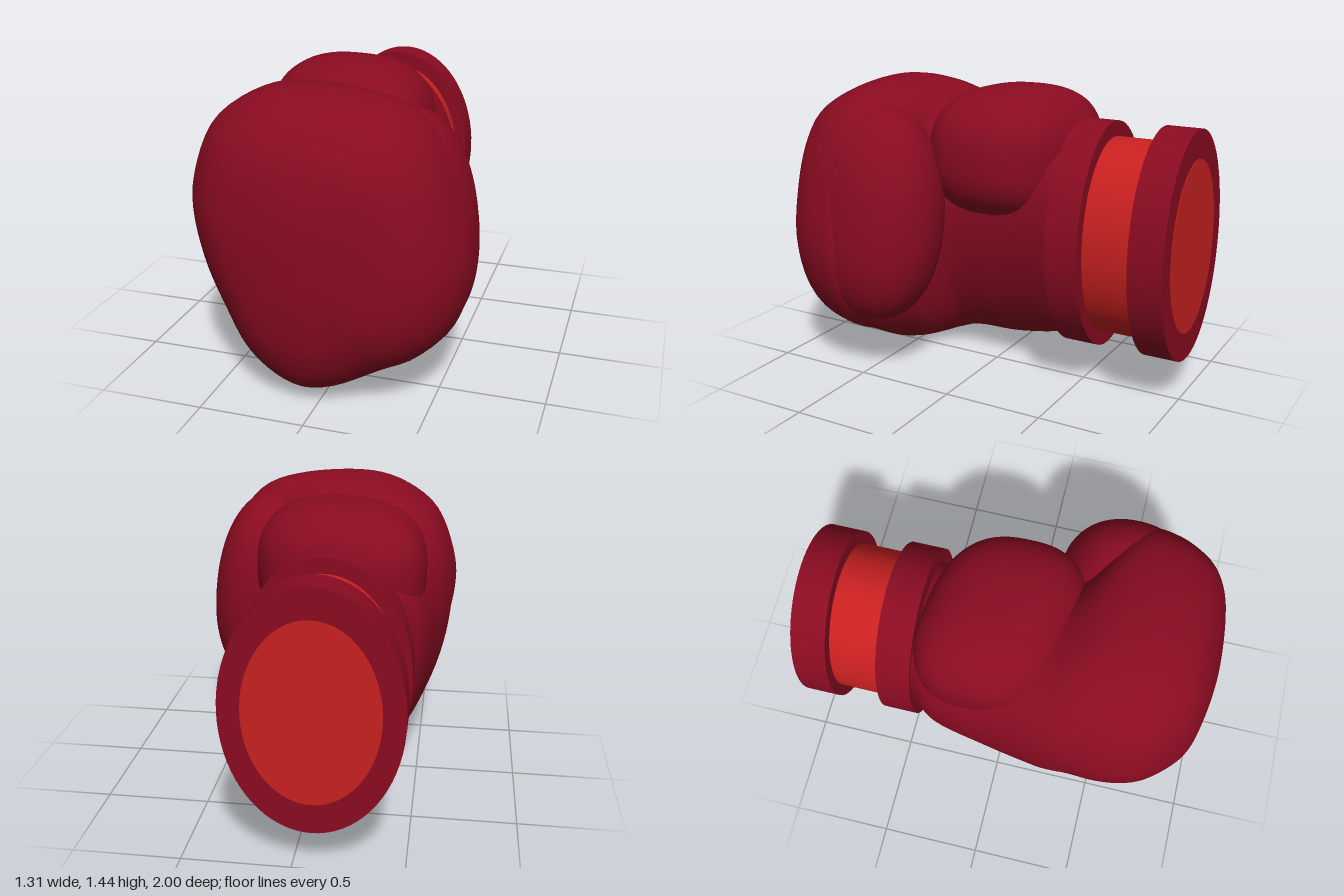
import * as THREE from 'three';
import { mergeVertices } from 'three/addons/utils/BufferGeometryUtils.js';

const leather = new THREE.MeshStandardMaterial({ color: 0x8a0b21 });
leather.name = 'dark crimson leather';
const lining = new THREE.MeshStandardMaterial({ color: 0xc92020 });
lining.name = 'bright red lining';

// Outline of the closed fist seen from the front, scaled to -1..1
const fistOutline = [
  [1, -0.09], [0.92, 0.37], [0.79, 0.67], [0.61, 0.87], [0.31, 0.97], [-0.31, 1], [-0.61, 0.91],
  [-0.84, 0.74], [-0.99, 0.39], [-1, 0.18], [-0.92, -0.16], [-0.79, -0.44], [-0.61, -0.75],
  [-0.38, -0.93], [-0.15, -1], [0.08, -0.96], [0.46, -0.78], [0.69, -0.67], [0.89, -0.47],
];

// Stations from wrist to knuckles: z, xMin, xMax, yMin, yMax
const stations = [
  [-0.5, -0.40, 0.20, 0.26, 1.18],
  [-0.42, -0.45, 0.21, 0.23, 1.20],
  [-0.3, -0.53, 0.20, 0.16, 1.22],
  [-0.05, -0.58, 0.17, 0.10, 1.24],
  [0.2, -0.63, 0.18, 0.08, 1.32],
  [0.3, -0.645, 0.27, 0.055, 1.37],
  [0.38, -0.65, 0.44, 0.03, 1.405],
  [0.46, -0.655, 0.59, 0.01, 1.425],
  [0.55, -0.655, 0.65, 0, 1.435],
  [0.65, -0.64, 0.64, 0.01, 1.43],
  [0.75, -0.60, 0.605, 0.04, 1.40],
  [0.85, -0.52, 0.54, 0.12, 1.34],
  [0.92, -0.43, 0.45, 0.24, 1.24],
  [0.96, -0.31, 0.33, 0.37, 1.13],
  [0.99, -0.13, 0.14, 0.58, 0.97],
  [1.0, 0, 0, 0.78, 0.78],
];

// Loft that changes from an egg-shaped hand to the wide fist outline
function handGeometry() {
  const curve = (pts) => new THREE.CatmullRomCurve3(pts, false, 'catmullrom', 0.5);
  const low = curve(stations.map(([z, x0, , y0]) => new THREE.Vector3(x0, y0, z)));
  const high = curve(stations.map(([z, , x1, , y1]) => new THREE.Vector3(x1, y1, z)));
  const n = 80, rings = 90;
  const outline = new THREE.CatmullRomCurve3(
    fistOutline.map(([x, y]) => new THREE.Vector3(x, y, 0)), true).getSpacedPoints(n);
  const pos = [], index = [];
  for (let i = 0; i <= rings; i++) {
    const a = low.getPoint(i / rings), b = high.getPoint(i / rings);
    const m = THREE.MathUtils.smoothstep(a.z, 0.22, 0.5);
    for (let j = 0; j < n; j++) {
      const p = outline[j], t = Math.atan2(p.y, p.x), s = Math.sin(t);
      const u = THREE.MathUtils.lerp(Math.cos(t), p.x, m);
      const v = THREE.MathUtils.lerp(s + 0.25 * (1 - s * s), p.y, m);
      pos.push((a.x + b.x) / 2 + u * (b.x - a.x) / 2, (a.y + b.y) / 2 + v * (b.y - a.y) / 2, a.z);
      if (i < rings) {
        const k = i * n, q = (j + 1) % n;
        index.push(k + j, k + q, k + n + j, k + q, k + n + q, k + n + j);
      }
    }
  }
  const g = new THREE.BufferGeometry();
  g.setAttribute('position', new THREE.Float32BufferAttribute(pos, 3));
  g.setIndex(index);
  g.computeVertexNormals();
  return g;
}

// Padded lobe: a sphere pushed out towards a box by the given power,
// with its right end slanted forward by the shear
function paddedGeometry(rx, ry, rz, power, shear) {
  let g = new THREE.SphereGeometry(1, 64, 40);
  g.deleteAttribute('uv');
  g.deleteAttribute('normal');
  const p = g.attributes.position, v = new THREE.Vector3();
  for (let i = 0; i < p.count; i++) {
    v.fromBufferAttribute(p, i);
    const sum = Math.abs(v.x) ** power + Math.abs(v.y) ** power + Math.abs(v.z) ** power;
    v.multiplyScalar(sum ** (-1 / power));
    p.setXYZ(i, v.x * rx, v.y * ry, v.z * rz + v.x * rx * shear);
  }
  g = mergeVertices(g, 1e-5);
  g.computeVertexNormals();
  return g;
}

// Oval disc or band of the cuff between two depths
function ovalGeometry(rx, ry, z0, z1) {
  const g = new THREE.CylinderGeometry(1, 1, z1 - z0, 72);
  g.rotateX(Math.PI / 2);
  g.scale(rx, ry, 1);
  g.translate(-0.09, 0.74, (z0 + z1) / 2);
  return g;
}

export function createModel() {
  const model = new THREE.Group();
  model.name = 'boxingGlove';
  const add = (name, geometry, material, parent = model) => {
    const mesh = new THREE.Mesh(geometry, material);
    mesh.name = name;
    parent.add(mesh);
    return mesh;
  };

  // Padded hand, curled finger end and thumb
  add('hand', handGeometry(), leather);
  const fingers = add('curledFingers', paddedGeometry(0.275, 0.53, 0.33, 2.2, 0), leather);
  fingers.position.set(0.365, 0.81, 0.465);
  fingers.rotation.z = 0.12;
  const thumb = add('thumb', paddedGeometry(0.415, 0.325, 0.355, 2.6, 0.14), leather);
  thumb.position.set(-0.105, 1.107, -0.06);

  // Cuff: two raised bands around a red sleeve, with the red opening behind
  const cuff = new THREE.Group();
  cuff.name = 'cuff';
  model.add(cuff);
  add('frontBand', ovalGeometry(0.4, 0.56, -0.585, -0.42), leather, cuff);
  add('sleeve', ovalGeometry(0.345, 0.485, -0.84, -0.575), lining, cuff);
  add('rearBand', ovalGeometry(0.4, 0.56, -0.997, -0.83), leather, cuff);
  add('opening', ovalGeometry(0.3, 0.42, -1, -0.993), lining, cuff);
  return model;
}
